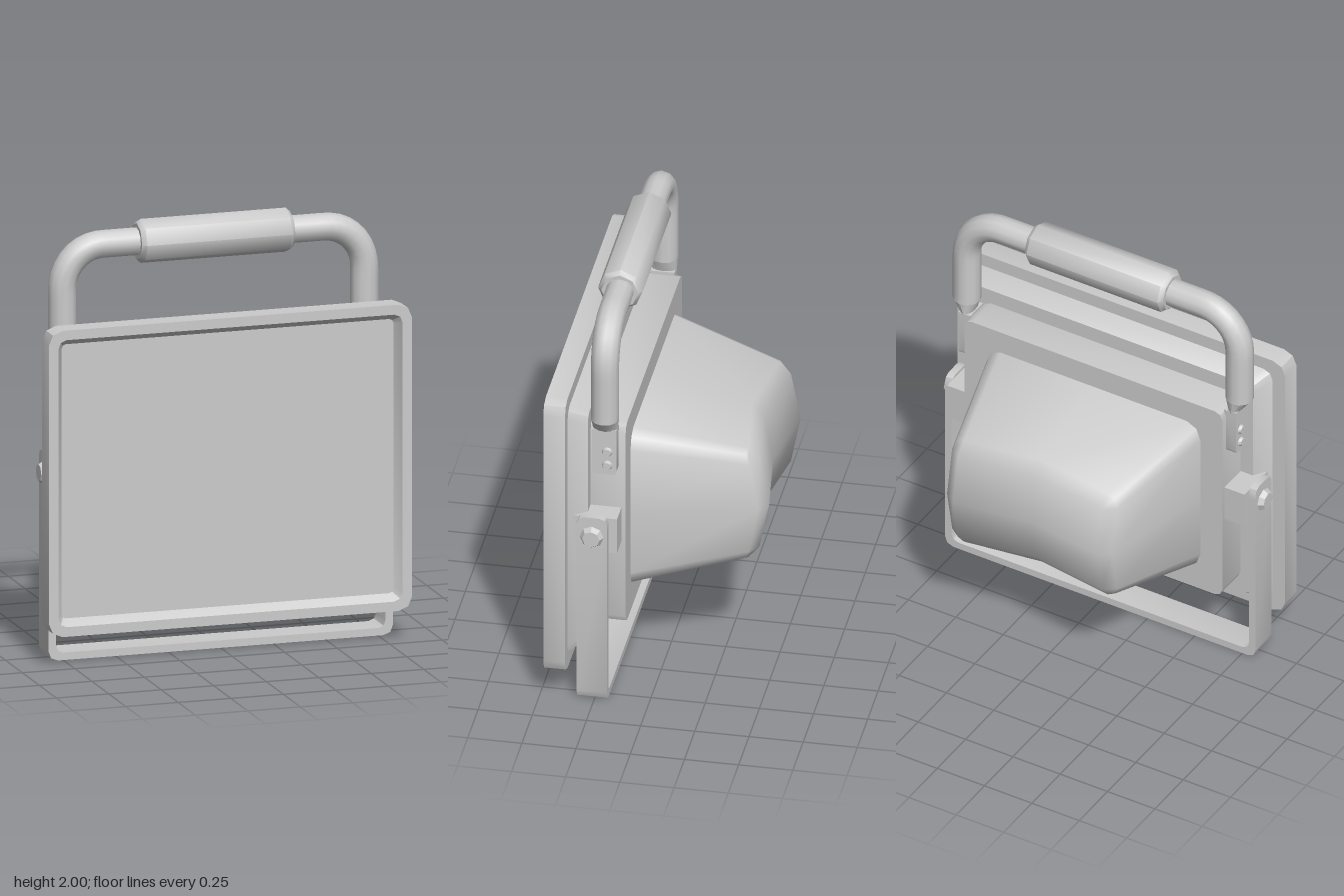
import * as THREE from 'three';
import { toCreasedNormals, mergeVertices } from 'three/addons/utils/BufferGeometryUtils.js';

const material = new THREE.MeshStandardMaterial({ color: 0xcccccc });
const CY = 0.86; // height of the lamp's middle

function add(parent, name, geometry, crease = 0.6) {
  const mesh = new THREE.Mesh(toCreasedNormals(geometry, crease), material);
  mesh.name = name;
  parent.add(mesh);
  return mesh;
}

// Rectangle outline with two-step rounded corners, counter-clockwise
function roundedRing(hx, hy, r, z) {
  const ring = [];
  [[1, 1], [-1, 1], [-1, -1], [1, -1]].forEach(([sx, sy], q) => {
    for (let k = 0; k <= 2; k++) {
      const a = (q + k / 2) * Math.PI / 2;
      ring.push([sx * (hx - r) + r * Math.cos(a), CY + sy * (hy - r) + r * Math.sin(a), z]);
    }
  });
  return ring;
}

// Skin a list of rings from back to front and close both ends
function loft(rings) {
  const n = rings[0].length, last = (rings.length - 1) * n;
  const points = rings.flat();
  const index = [];
  for (let r = 0; r < rings.length - 1; r++) {
    for (let j = 0; j < n; j++) {
      const a = r * n + j, b = r * n + (j + 1) % n;
      index.push(a, b, b + n, a, b + n, a + n);
    }
  }
  for (let j = 1; j < n - 1; j++) {
    index.push(0, j + 1, j);
    index.push(last, last + j, last + j + 1);
  }
  const g = new THREE.BufferGeometry();
  g.setAttribute('position', new THREE.Float32BufferAttribute(points.flat(), 3));
  g.setIndex(index);
  return g;
}

// Plate drawn as [z, y] points, with its thickness along x from x0 to x1
function sidePlate(points, x0, x1) {
  const shape = new THREE.Shape(points.map(([z, y]) => new THREE.Vector2(z, y)));
  const g = new THREE.ExtrudeGeometry(shape, { depth: x1 - x0, bevelEnabled: false });
  return g.rotateY(-Math.PI / 2).translate(x1, 0, 0);
}

// Cylinder lying along x
function pin(r0, r1, x0, x1, y, z, sides) {
  return new THREE.CylinderGeometry(r1, r0, x1 - x0, sides)
    .rotateZ(-Math.PI / 2).translate((x0 + x1) / 2, y, z);
}

// Tapered rear housing, with a shallow V across its back
function housingGeometry() {
  const g = new THREE.BoxGeometry(2, 2, 1, 4, 4, 1);
  g.deleteAttribute('normal');
  g.deleteAttribute('uv');
  const xs = [0, 0.38, 0.435], ys = [0, 0.23, 0.29];
  const depth = [-0.475, -0.43, -0.38];
  const p = g.attributes.position;
  for (let i = 0; i < p.count; i++) {
    const ix = Math.round(Math.abs(p.getX(i)) * 2), iy = Math.round(Math.abs(p.getY(i)) * 2);
    const corner = ix === 2 && iy === 2;
    let x = Math.sign(p.getX(i)) * (corner ? 0.418 : xs[ix]);
    let y = Math.sign(p.getY(i)) * (corner ? 0.272 : ys[iy]);
    let z = depth[iy] + [0.055, 0, 0.04][ix];
    if (corner) z = -0.375;
    if (p.getZ(i) > 0) {
      x *= 0.565 / 0.435;
      y *= 0.41 / 0.29;
      z = 0.13;
    }
    p.setXYZ(i, x, y + CY, z);
  }
  return mergeVertices(g);
}

function handlePath() {
  const v = (x, y) => new THREE.Vector3(x, y, 0.218);
  const path = new THREE.CurvePath();
  path.add(new THREE.LineCurve3(v(-0.72, 1.44), v(-0.72, 1.7)));
  path.add(new THREE.CubicBezierCurve3(v(-0.72, 1.7), v(-0.72, 1.81), v(-0.64, 1.9), v(-0.53, 1.9)));
  path.add(new THREE.LineCurve3(v(-0.53, 1.9), v(0.53, 1.9)));
  path.add(new THREE.CubicBezierCurve3(v(0.53, 1.9), v(0.64, 1.9), v(0.72, 1.81), v(0.72, 1.7)));
  path.add(new THREE.LineCurve3(v(0.72, 1.7), v(0.72, 1.44)));
  return path;
}

// Round tube end squeezed flat into the mounting plate
function tubeEnd() {
  const g = new THREE.CylinderGeometry(0.065, 0.065, 0.07, 12);
  const p = g.attributes.position;
  for (let i = 0; i < p.count; i++) {
    if (p.getY(i) < 0) p.setXYZ(i, p.getX(i) * 0.4 - 0.014, p.getY(i), p.getZ(i) * 0.88);
  }
  return g.translate(0.72, 1.41, 0.218);
}

// U-shaped stand seen from the front
function standGeometry() {
  const top = 0.9, o = 0.82, i = 0.785;
  const shape = new THREE.Shape([
    [-o, top], [-o, 0.045], [-0.808, 0.013], [-0.775, 0], [0.775, 0], [0.808, 0.013], [o, 0.045], [o, top],
    [i, top], [i, 0.07], [0.775, 0.045], [0.75, 0.035], [-0.75, 0.035], [-0.775, 0.045], [-i, 0.07], [-i, top],
  ].map(([x, y]) => new THREE.Vector2(x, y)));
  return new THREE.ExtrudeGeometry(shape, { depth: 0.14, bevelEnabled: false }).translate(0, 0, 0.19);
}

export function createModel() {
  const model = new THREE.Group();
  model.name = 'floodlight';

  // Lamp: tapered flange, front rim and recessed glass in one skin
  add(model, 'frontFrame', loft([
    roundedRing(0.745, 0.6, 0.04, 0.292),
    roundedRing(0.8, 0.65, 0.05, 0.375),
    roundedRing(0.865, 0.715, 0.065, 0.375),
    roundedRing(0.865, 0.715, 0.065, 0.475),
    roundedRing(0.82, 0.67, 0.04, 0.475),
    roundedRing(0.79, 0.64, 0.02, 0.43),
  ]), 0.5);
  add(model, 'body', loft([
    roundedRing(0.68, 0.525, 0.04, 0.13),
    roundedRing(0.68, 0.525, 0.04, 0.3),
  ]));
  add(model, 'rearHousing', housingGeometry(), 1.2);

  // Carrying handle and grip
  const handle = new THREE.Group();
  handle.name = 'handle';
  model.add(handle);
  add(handle, 'handleTube', new THREE.TubeGeometry(handlePath(), 60, 0.065, 12), 0.9);
  const profile = [[0, -0.365], [0.085, -0.365], [0.103, -0.345], [0.103, 0.345], [0.085, 0.365], [0, 0.365]]
    .map(([r, y]) => new THREE.Vector2(r, y));
  add(handle, 'grip', new THREE.LatheGeometry(profile, 8).rotateZ(Math.PI / 2).translate(0, 1.9, 0.218), 0.79);

  // Stand
  add(model, 'stand', standGeometry());

  // Fittings on both sides; the second side is turned around and shifted to match
  for (const side of [1, -1]) {
    const fittings = new THREE.Group();
    fittings.name = side > 0 ? 'leftFittings' : 'rightFittings';
    model.add(fittings);
    const part = (name, geometry, crease) => {
      if (side < 0) {
        // Mirror in x and turn the faces back outward
        geometry = geometry.index ? geometry.toNonIndexed() : geometry;
        geometry.scale(-1, 1, 1);
        const p = geometry.attributes.position;
        const a = new THREE.Vector3(), b = new THREE.Vector3();
        for (let i = 0; i < p.count; i += 3) {
          a.fromBufferAttribute(p, i);
          b.fromBufferAttribute(p, i + 1);
          p.setXYZ(i, b.x, b.y, b.z);
          p.setXYZ(i + 1, a.x, a.y, a.z);
        }
      }
      add(fittings, name, geometry, crease);
    };
    part('handleEnd', tubeEnd(), 0.7);
    part('handlePlate', sidePlate([
      [0.163, 1.385], [0.163, 1.17], [0.169, 1.156], [0.183, 1.15],
      [0.255, 1.15], [0.269, 1.156], [0.275, 1.17], [0.275, 1.385],
    ], 0.67, 0.732));
    for (const y of [1.2, 1.27]) part('plateScrew', pin(0.025, 0.018, 0.73, 0.745, y, 0.205, 12));
    part('pivotBlock', new THREE.BoxGeometry(0.115, 0.18, 0.205).translate(0.7275, 0.86, 0.2525));
    part('standArmTop', sidePlate([
      [0.19, 0.9], [0.33, 0.9], [0.33, 0.93], [0.32, 0.955], [0.295, 0.965],
      [0.225, 0.965], [0.2, 0.955], [0.19, 0.93],
    ], 0.785, 0.82));
    part('pivotBolt', pin(0.055, 0.04, 0.82, 0.845, 0.865, 0.26, 8));
  }
  return model;
}
